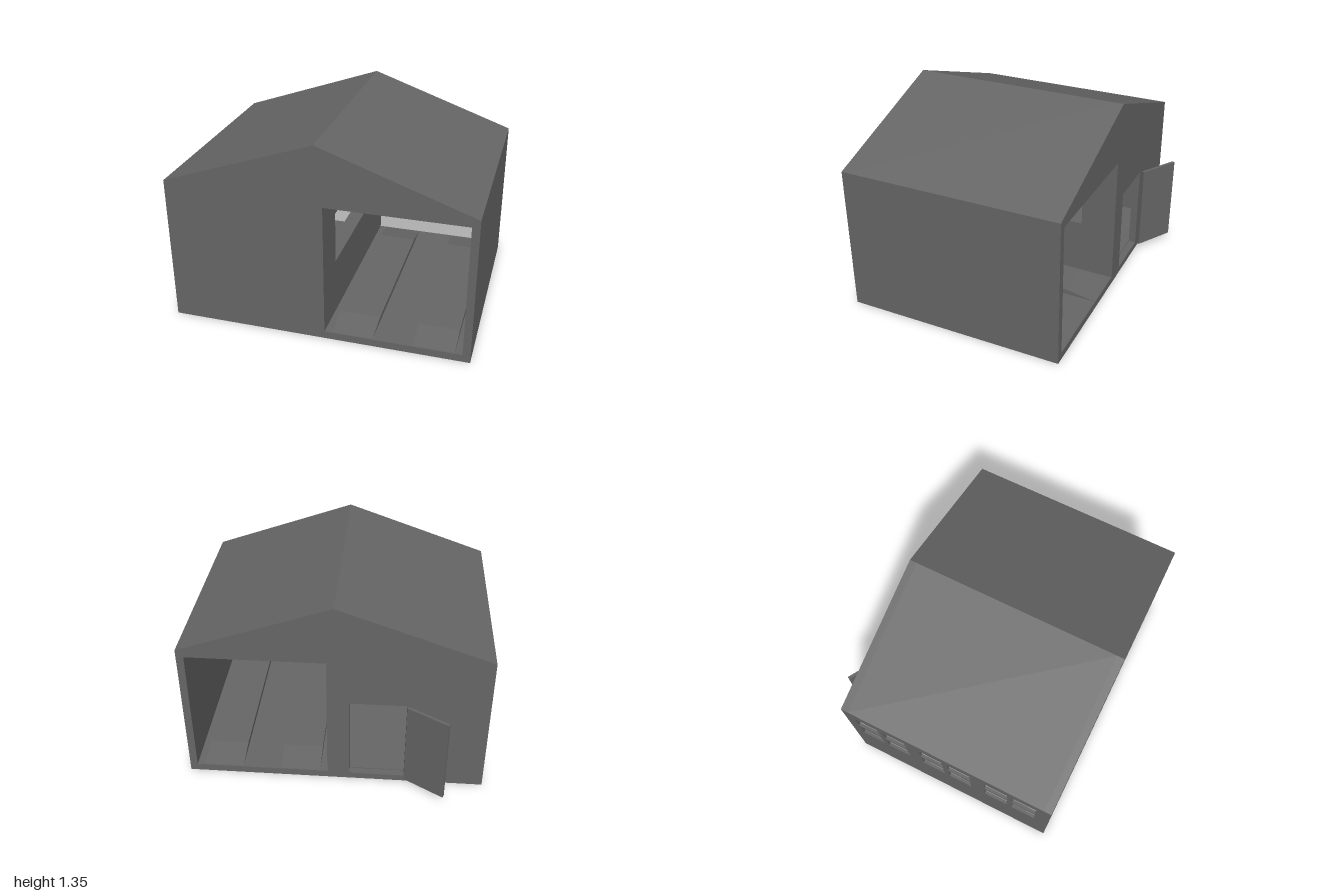
import * as THREE from 'three';

const Z0 = -0.66, Z1 = 0.84, T = 0.05; // back, front, wall thickness
const MID = (Z0 + Z1) / 2;

export function createModel() {
  const group = new THREE.Group();
  const wallMat = new THREE.MeshStandardMaterial({ color: 0x666666 });
  wallMat.name = 'wallGrey';
  const glassMat = new THREE.MeshStandardMaterial({ color: 0xc0c0c0 });
  glassMat.name = 'paleGlass';

  const add = (name, geometry, material = wallMat, parent = group) => {
    const mesh = new THREE.Mesh(geometry, material);
    mesh.name = name;
    parent.add(mesh);
    return mesh;
  };
  const box = (name, x0, x1, y0, y1, z0, z1, material, parent) => {
    const mesh = add(name, new THREE.BoxGeometry(x1 - x0, y1 - y0, z1 - z0), material, parent);
    mesh.position.set((x0 + x1) / 2, (y0 + y1) / 2, (z0 + z1) / 2);
    return mesh;
  };
  const polygon = (points) => new THREE.Shape(points.map(([x, y]) => new THREE.Vector2(x, y)));
  const rect = (u0, u1, v0, v1) => polygon([[u0, v0], [u1, v0], [u1, v1], [u0, v1]]);
  const extrude = (shape, depth, holes = []) => {
    shape.holes = holes;
    return new THREE.ExtrudeGeometry(shape, { depth, bevelEnabled: false });
  };
  // Shape drawn in (z, y), extruded from xMax towards -x
  const sideExtrude = (name, shape, xMax, depth, holes) => {
    const geometry = extrude(shape, depth, holes);
    geometry.rotateY(-Math.PI / 2);
    geometry.translate(xMax, 0, 0);
    return add(name, geometry);
  };

  // Gable end walls with the drive-through opening; the back also has a doorway
  const gable = () => polygon([[-1, 0], [1, 0], [1, 1], [0, 1.35], [-1, 1]]);
  const bay = () => rect(0.05, 0.95, 0.05, 0.95);
  add('frontWall', extrude(gable(), T, [bay()])).position.z = Z1 - T;
  add('backWall', extrude(gable(), T, [bay(), rect(-0.47, -0.1, 0.045, 0.645)])).position.z = Z0;

  // Roof block with flat ceiling, and floor slab
  const zin0 = Z0 + T, zin1 = Z1 - T;
  add('roof', extrude(polygon([[-1, 0.95], [1, 0.95], [1, 1], [0, 1.35], [-1, 1]]), zin1 - zin0)).position.z = zin0;
  box('floor', -1, 1, 0, 0.05, zin0, zin1);

  // Side walls and the dividing wall with its wide opening
  const windowZ = [-0.395, 0.08, 0.555], half = 0.185, wy0 = 0.51, wy1 = 0.88;
  const side = () => rect(zin0, zin1, 0.05, 0.95);
  box('leftWall', 0.95, 1, 0.05, 0.95, zin0, zin1);
  sideExtrude('rightWall', side(), -0.95, T,
    windowZ.map((z) => rect(z - half, z + half, wy0, wy1)));
  sideExtrude('dividingWall', side(), 0.05, 0.1, [rect(-0.42, 0.58, 0.43, 0.78)]);

  // Windows: one sheet of glass behind a cross of glazing bars
  for (const z of windowZ) {
    const win = new THREE.Group();
    win.name = 'window';
    group.add(win);
    const cy = (wy0 + wy1) / 2, bar = 0.019;
    box('glass', -0.98, -0.972, wy0, wy1, z - half, z + half, glassMat, win);
    box('uprightBar', -1, -0.98, wy0, wy1, z - bar, z + bar, wallMat, win);
    box('crossBar', -1, -0.98, cy - bar, cy + bar, z - half, z + half, wallMat, win);
  }

  // Wheel tracks with a ramp at each end
  const a = Z0 + 0.01, b = Z1 - 0.01, ramp = 0.2;
  for (const xMax of [0.37, 0.9]) {
    sideExtrude('wheelTrack',
      polygon([[a, 0.05], [b, 0.05], [b - ramp, 0.085], [a + ramp, 0.085]]), xMax, 0.27);
  }

  // Open back door, swung out on its hinge
  const hinge = new THREE.Group();
  hinge.name = 'backDoor';
  hinge.position.set(-0.475, 0, Z0 - 0.02);
  hinge.rotation.y = -Math.atan2(0.16, 0.26);
  box('doorPanel', -0.3, 0, 0.04, 0.65, -0.01, 0.01, wallMat, hinge);
  hinge.rotation.y = -Math.atan2(0.155, 0.258);
  group.add(hinge);

  return group;
}
